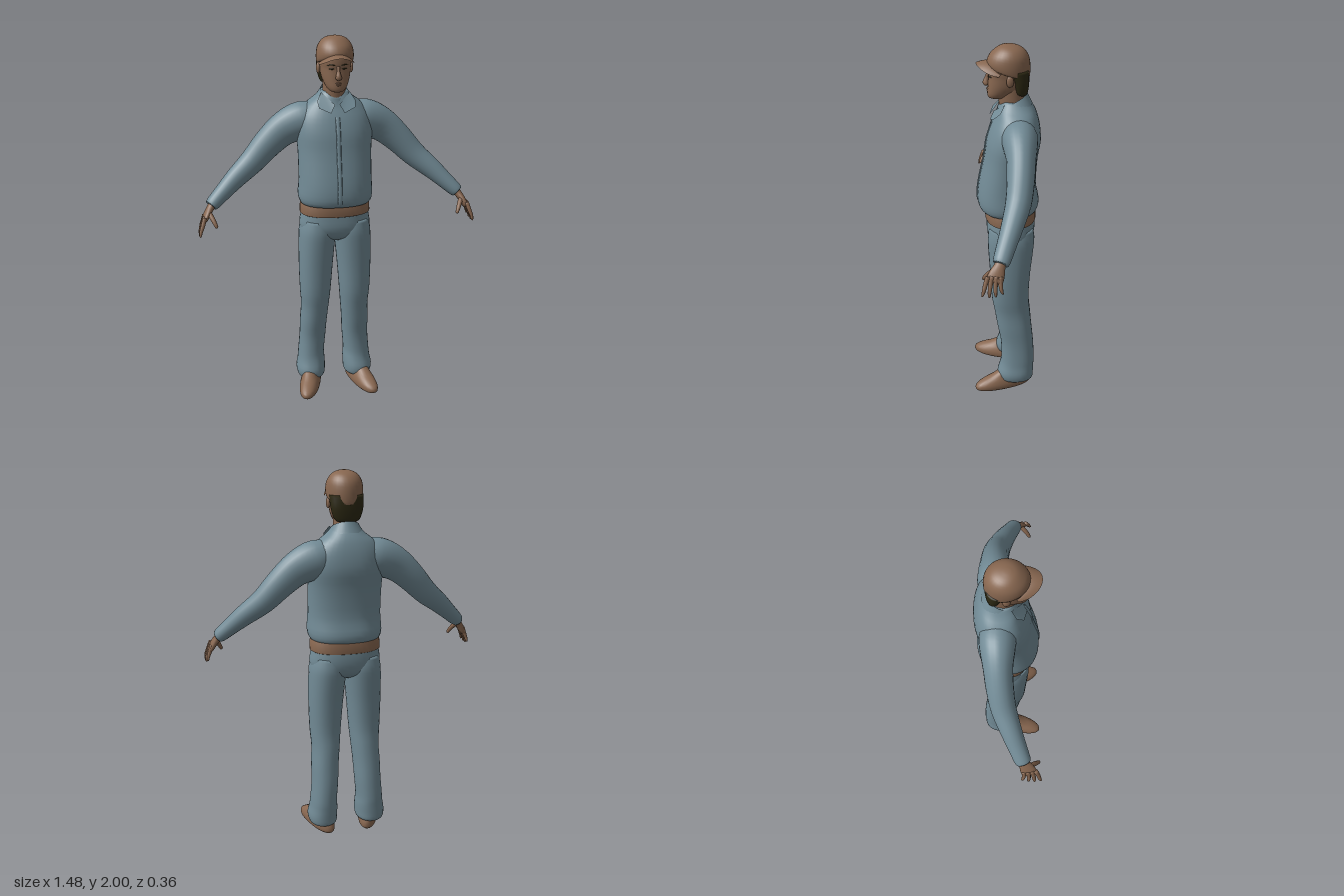
import * as THREE from 'three';

const mat = (name, color, side = THREE.FrontSide) => {
  const m = new THREE.MeshStandardMaterial({ color, side });
  m.name = name;
  return m;
};

// Catmull-Rom resampling of rows of numbers
function refine(rows, steps) {
  const out = [], n = rows.length;
  for (let i = 0; i < n - 1; i++) {
    const [a, b, c, d] = [-1, 0, 1, 2].map(k => rows[Math.min(n - 1, Math.max(0, i + k))]);
    for (let s = 0; s < steps; s++) {
      const t = s / steps;
      out.push(b.map((_, k) => b[k] + 0.5 * t * (c[k] - a[k]
        + t * (2 * a[k] - 5 * b[k] + 4 * c[k] - d[k] + t * (3 * (b[k] - c[k]) + d[k] - a[k])))));
    }
  }
  out.push(rows[n - 1]);
  return out;
}

// Closed skin over rings of Vector3, optionally capped at both ends
function skin(rings, capped = true) {
  const n = rings[0].length, pos = [], idx = [];
  rings.forEach(r => r.forEach(p => pos.push(p.x, p.y, p.z)));
  for (let i = 0; i < rings.length - 1; i++) for (let j = 0; j < n; j++) {
    const a = i * n + j, b = i * n + (j + 1) % n;
    idx.push(a, b, a + n, b, b + n, a + n);
  }
  if (capped) [0, rings.length - 1].forEach((r, end) => {
    const c = new THREE.Vector3();
    rings[r].forEach(p => c.addScaledVector(p, 1 / n));
    const k = pos.length / 3;
    pos.push(c.x, c.y, c.z);
    for (let j = 0; j < n; j++) {
      const a = r * n + j, b = r * n + (j + 1) % n;
      end ? idx.push(a, b, k) : idx.push(b, a, k);
    }
  });
  const g = new THREE.BufferGeometry();
  g.setAttribute('position', new THREE.Float32BufferAttribute(pos, 3));
  g.setIndex(idx);
  g.computeVertexNormals();
  return g;
}

const pw = (v, e) => Math.sign(v) * Math.abs(v) ** e;

// Horizontal sections: rows of [y, centreX, halfX, zFront, zBack, tilt]
function loft(rows, { e = 1, n = 28, steps = 3, capped = true, splay = 0 } = {}) {
  return skin(refine(rows.map(r => r.length < 6 ? [...r, 0] : r), steps).map(([y, cx, hx, zf, zb, tilt]) =>
    Array.from({ length: n }, (_, j) => {
      const a = j / n * Math.PI * 2;
      const z = (zf + zb) / 2 + pw(Math.cos(a), e) * (zf - zb) / 2;
      return new THREE.Vector3(cx + pw(Math.sin(a), e) * hx + splay * z, y + tilt * z, z);
    })), capped);
}

// Limb along a path: rows of [x, y, z, radiusAcross, radiusZ]
function limb(rows, s = 1, n = 18, steps = 3) {
  const r = refine(rows, steps).map(([x, y, z, u, w]) => ({ p: new THREE.Vector3(x * s, y, z), u, w }));
  return skin(r.map(({ p, u, w }, i) => {
    const T = r[Math.min(i + 1, r.length - 1)].p.clone().sub(r[Math.max(i - 1, 0)].p).normalize();
    const W = new THREE.Vector3(0, 0, 1).addScaledVector(T, -T.z).normalize();
    const U = new THREE.Vector3().crossVectors(T, W);
    return Array.from({ length: n }, (_, j) => {
      const a = j / n * Math.PI * 2;
      return p.clone().addScaledVector(U, Math.sin(a) * u).addScaledVector(W, Math.cos(a) * w);
    });
  }));
}

export function createModel() {
  const model = new THREE.Group();
  const cloth = mat('blue cloth', 0x728b96);
  const clothThin = mat('blue cloth thin', 0x728b96, THREE.DoubleSide);
  const brown = mat('brown skin and leather', 0x886750);
  const brownThin = mat('brown cap brim', 0x886750, THREE.DoubleSide);
  const dark = mat('dark hair', 0x2c2813);
  const add = (name, geo, m) => {
    const mesh = new THREE.Mesh(geo, m);
    mesh.name = name;
    model.add(mesh);
    return mesh;
  };

  // Jacket body, gathered at the hem
  add('jacketBody', loft([
    [1.112, 0, .165, .09, -.145], [1.118, 0, .188, .135, -.167], [1.16, 0, .2, .152, -.174],
    [1.25, 0, .195, .145, -.158], [1.4, 0, .196, .115, -.165], [1.5, 0, .203, .1, -.18],
    [1.58, 0, .19, .076, -.174], [1.64, 0, .15, .05, -.158], [1.68, 0, .1, .038, -.138],
    [1.715, 0, .07, .02, -.112]], { e: .85, n: 36 }), cloth);
  add('jacketPlacket', limb([[0, 1.13, .14, .012, .005], [0, 1.16, .152, .012, .005], [0, 1.25, .146, .012, .005],
    [0, 1.4, .116, .012, .005], [0, 1.5, .101, .012, .005], [0, 1.59, .072, .012, .005]], 1, 8), cloth);

  // Collar band and folded points
  add('collarBand', loft([[1.645, 0, .105, .055, -.135, -.35], [1.675, 0, .085, .045, -.12, -.4],
    [1.7, 0, .07, .04, -.108, -.45]], { capped: false }), clothThin);
  for (const s of [-1, 1]) {
    const flap = new THREE.BufferGeometry();
    flap.setAttribute('position', new THREE.Float32BufferAttribute([
      s * .075, 1.71, .005, s * .012, 1.655, .062, s * .035, 1.615, .083,
      s * .095, 1.64, .065, s * .1, 1.67, .03], 3));
    flap.setIndex([0, 1, 2, 0, 2, 3, 0, 3, 4]);
    flap.computeVertexNormals();
    add('collarPoint', flap, clothThin);
  }

  // Trousers and belt
  add('trouserSeat', loft([[.9, 0, .1, .04, -.09], [.93, 0, .17, .085, -.135], [.98, 0, .192, .104, -.153],
    [1.04, 0, .185, .104, -.156], [1.1, 0, .175, .1, -.15]], { e: .85, n: 36 }), cloth);
  add('belt', loft([[1.052, 0, .184, .104, -.154], [1.056, 0, .19, .112, -.16], [1.115, 0, .187, .112, -.16],
    [1.12, 0, .17, .1, -.15]], { e: .85, n: 36, steps: 1 }), brown);

  for (const s of [-1, 1]) {
    const row = ([y, inner, outer, zf, zb]) => [y, s * (inner + outer) / 2, (outer - inner) / 2, zf, zb];
    add('trouserLeg', loft([[.05, .085, .19, .02, -.13], [.06, .06, .21, .045, -.148], [.1, .055, .217, .052, -.152],
      [.15, .055, .208, .038, -.154], [.2, .058, .203, .03, -.155], [.3, .05, .195, .032, -.15],
      [.4, .044, .193, .05, -.14], [.5, .035, .188, .066, -.13], [.6, .026, .195, .082, -.122],
      [.75, .014, .199, .09, -.13], [.88, .002, .198, .098, -.144], [.96, -.004, .194, .1, -.15],
      [1.02, .01, .18, .09, -.14]].map(row), { e: .9 }), cloth);

    // Shoe, toes turned slightly outward
    add('shoe', loft([[0, s * .143, .046, .165, -.125], [.012, s * .143, .056, .18, -.135],
      [.035, s * .143, .058, .176, -.135], [.058, s * .143, .053, .14, -.128], [.08, s * .143, .046, .09, -.12],
      [.11, s * .143, .04, .04, -.11]], { e: .9, splay: s * .26 }), brown);

    // Sleeve from the shoulder to the cuff
    add('sleeve', limb([[.09, 1.575, -.06, .08, .08], [.15, 1.555, -.064, .1, .092], [.21, 1.535, -.066, .1, .086],
      [.28, 1.497, -.066, .088, .074], [.36, 1.425, -.06, .077, .069], [.44, 1.342, -.045, .066, .064],
      [.53, 1.268, -.012, .055, .055], [.6, 1.205, .018, .045, .048], [.655, 1.155, .042, .038, .043],
      [.668, 1.143, .048, .032, .038]], s, 22), cloth);

    // Hand with four fingers and a thumb
    add('palm', limb([[.645, 1.165, .038, .022, .026], [.67, 1.135, .052, .02, .028], [.69, 1.105, .066, .018, .038],
      [.706, 1.075, .078, .015, .041], [.71, 1.065, .082, .008, .03]], s), brown);
    for (let f = 0; f < 4; f++) {
      const z = .05 + f * .02, len = [.8, .97, 1, .92][f], fan = (f - 1.5) * .008;
      add('finger', limb([[0, .02, 0], [.012, -.02, .006], [.025, -.055, .009], [.029, -.077, .009], [.03, -.081, .009]]
        .map(([x, y, dz], i) => [.705 + x * len, 1.08 + y * len, z + dz + fan * i * .5,
          [.011, .011, .009, .006, .002][i], [.012, .011, .009, .006, .002][i]]), s, 10), brown);
    }
    add('thumb', limb([[.685, 1.12, .075, .013, .014], [.668, 1.095, .1, .013, .013], [.655, 1.07, .12, .011, .011],
      [.646, 1.05, .13, .008, .008], [.644, 1.046, .131, .002, .002]], s, 10), brown);

    // Ear, brow and eye
    const ear = add('ear', new THREE.SphereGeometry(1, 14, 10), brown);
    ear.scale.set(.011, .03, .019);
    ear.position.set(s * .086, 1.835, -.018);
    add('eyebrow', limb([[.016, 1.862, .092, .002, .002], [.034, 1.866, .087, .003, .003],
      [.055, 1.86, .068, .002, .002]], s, 8), dark);
    add('eye', limb([[.02, 1.845, .088, .001, .002], [.033, 1.845, .085, .004, .003],
      [.046, 1.844, .074, .001, .002]], s, 8), dark);
  }

  // Neck, head and face
  add('neck', loft([[1.62, 0, .07, .035, -.11], [1.68, 0, .062, .035, -.1], [1.74, 0, .06, .04, -.098],
    [1.8, 0, .06, .04, -.1]]), brown);
  add('head', loft([[1.722, 0, .022, .076, .02], [1.73, 0, .04, .09, -.01], [1.75, 0, .056, .094, -.04],
    [1.78, 0, .069, .092, -.075], [1.81, 0, .076, .09, -.095], [1.845, 0, .08, .088, -.105],
    [1.87, 0, .083, .092, -.11], [1.92, 0, .085, .086, -.112], [1.95, 0, .06, .05, -.09]], { e: .9 }), brown);
  add('nose', limb([[0, 1.792, .09, .006, .004], [0, 1.798, .096, .016, .016], [0, 1.808, .098, .015, .018],
    [0, 1.83, .093, .009, .013], [0, 1.858, .088, .008, .008]], 1, 12), brown);
  for (const [y, z] of [[1.772, .09], [1.762, .089]])
    add('lip', limb([[-.026, y, z - .009, .002, .003], [0, y, z + .003, .005, .006], [.026, y, z - .009, .002, .003]], 1, 8), brown);

  // Hair behind the ears
  add('hair', loft([[1.745, 0, .05, -.06, -.105], [1.755, 0, .066, -.045, -.111], [1.79, 0, .08, -.035, -.116],
    [1.83, 0, .087, -.022, -.118], [1.88, 0, .089, .01, -.117]], { e: .9 }), dark);

  // Cap crown, lower at the back
  add('capCrown', loft([[1.868, 0, .082, .08, -.11, .3], [1.871, 0, .094, .092, -.12, .3], [1.905, 0, .097, .095, -.123, .15],
    [1.945, 0, .09, .082, -.115, .05], [1.975, 0, .07, .056, -.09, 0], [1.992, 0, .043, .03, -.058, 0],
    [1.999, 0, .012, .004, -.022, 0]]), brown);
  // Arched brim
  const brim = new THREE.PlaneGeometry(1, 1, 20, 5);
  const p = brim.attributes.position;
  for (let i = 0; i < p.count; i++) {
    const a = p.getX(i) * 2.9, v = .5 - p.getY(i);
    p.setXYZ(i, Math.sin(a) * (.086 + .008 * v),
      1.918 - .045 * Math.sin(a) ** 2 - .012 * v * v,
      .02 + Math.cos(a) * (.06 + .07 * v));
  }
  brim.computeVertexNormals();
  add('capBrim', brim, brownThin);

  return model;
}
